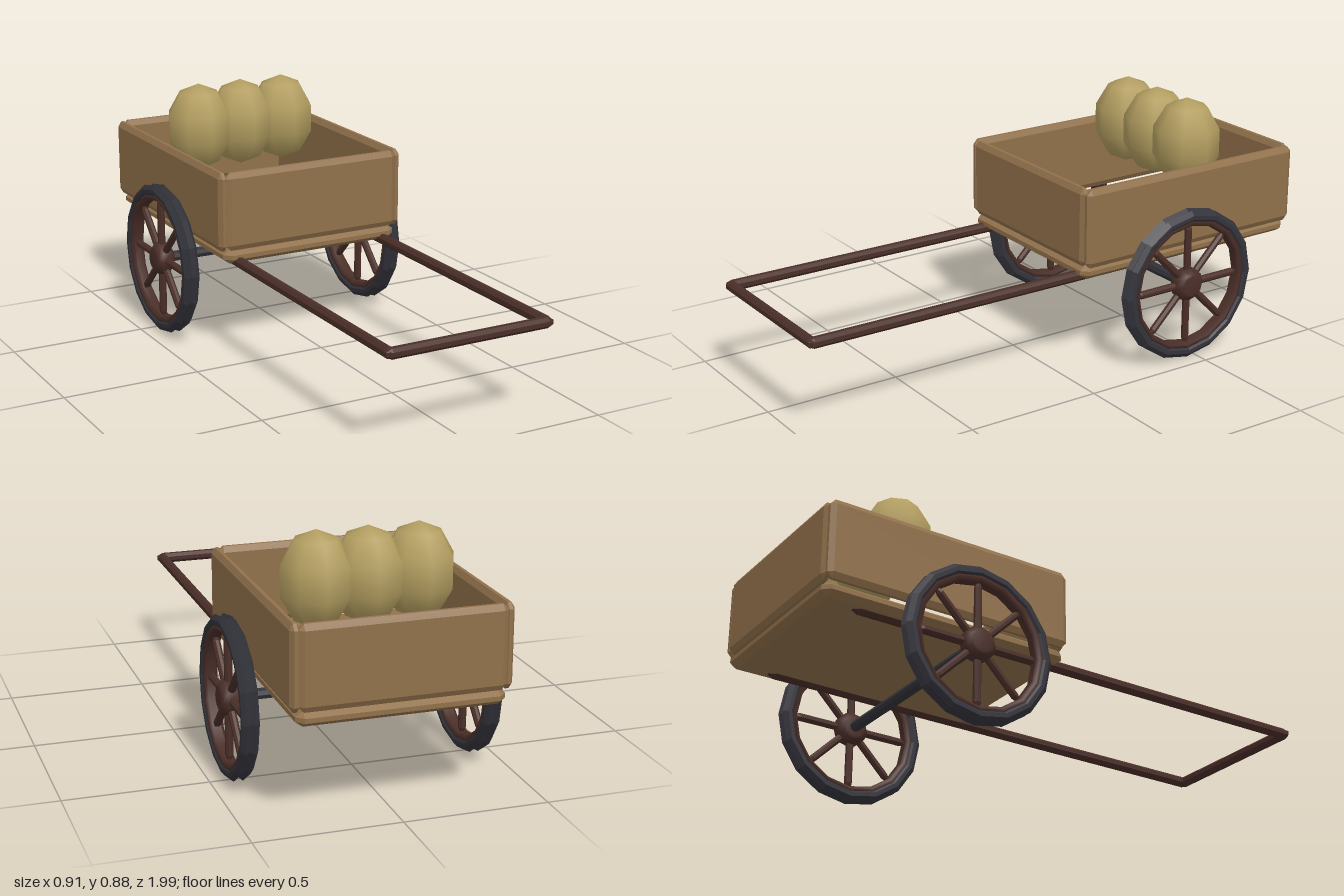
import * as THREE from 'three';
import { ConvexGeometry } from 'three/addons/geometries/ConvexGeometry.js';

const mat = (name, color, flatShading = false) =>
  Object.assign(new THREE.MeshStandardMaterial({ color, flatShading }), { name });

// Box with chamfered edges; c holds the chamfer along each axis
function chamferBox(w, h, d, c) {
  const half = [w / 2, h / 2, d / 2];
  const points = [];
  for (const sx of [-1, 1]) for (const sy of [-1, 1]) for (const sz of [-1, 1]) {
    const s = [sx, sy, sz];
    for (let full = 0; full < 3; full++) {
      points.push(new THREE.Vector3(...half.map((v, i) => s[i] * (i === full ? v : v - c[i]))));
    }
  }
  return new ConvexGeometry(points);
}

// Ring or hub turned about the x axis from [radius, x] pairs
function turned(profile, segments) {
  const g = new THREE.LatheGeometry(profile.map(([r, x]) => new THREE.Vector2(r, x)), segments);
  g.rotateZ(-Math.PI / 2);
  return g;
}

export function createModel() {
  const root = new THREE.Group();
  root.name = 'handcart';
  const wood = mat('wood', 0x91714b);
  const darkWood = mat('dark wood', 0x4a2e28);
  const iron = mat('iron', 0x32323a, true);
  const sackCloth = mat('sack cloth', 0xb39e60);
  const hubWood = darkWood;

  const add = (parent, name, geometry, material, x = 0, y = 0, z = 0) => {
    const m = new THREE.Mesh(geometry, material);
    m.name = name;
    m.position.set(x, y, z);
    parent.add(m);
    return m;
  };

  // Cart bed: floor and four walls
  const midZ = -0.527;
  add(root, 'floor', chamferBox(0.70, 0.052, 0.93, [0.025, 0.018, 0.025]), wood, 0, 0.379, midZ);
  const endWall = chamferBox(0.69, 0.285, 0.036, [0.018, 0.02, 0.012]);
  const sideWall = chamferBox(0.036, 0.287, 0.926, [0.012, 0.02, 0.018]);
  add(root, 'frontWall', endWall, wood, 0, 0.548, -0.074);
  add(root, 'backWall', endWall, wood, 0, 0.548, -0.98);
  add(root, 'leftWall', sideWall, wood, 0.352, 0.547, midZ);
  add(root, 'rightWall', sideWall, wood, -0.352, 0.547, midZ);

  // Pull handle
  const shaft = chamferBox(0.037, 0.037, 1.85, [0.011, 0.011, 0.02]);
  for (const s of [1, -1]) {
    add(root, s > 0 ? 'leftShaft' : 'rightShaft', shaft, darkWood, s * 0.295, 0.359, 0.065);
  }
  add(root, 'handleBar', chamferBox(0.63, 0.037, 0.038, [0.022, 0.011, 0.011]), darkWood, 0, 0.359, 0.973);

  // Wheels
  const axleY = 0.283, axleZ = -0.464;
  const tyre = turned([
    [0.24, -0.022], [0.25, -0.03], [0.264, -0.03], [0.28, -0.016], [0.266, 0],
    [0.28, 0.016], [0.264, 0.03], [0.25, 0.03], [0.24, 0.022], [0.24, -0.022],
  ], 16);
  const rim = turned([
    [0.222, -0.014], [0.23, -0.024], [0.245, -0.024], [0.245, 0.024],
    [0.23, 0.024], [0.222, 0.014], [0.222, -0.014],
  ], 16);
  const hub = turned([
    [0, -0.036], [0.036, -0.036], [0.045, -0.03], [0.06, -0.016],
    [0.06, 0.016], [0.045, 0.03], [0.036, 0.036], [0, 0.036],
  ], 12);
  const spoke = chamferBox(0.026, 0.19, 0.026, [0.008, 0.02, 0.008]);
  for (const s of [1, -1]) {
    const wheel = new THREE.Group();
    wheel.name = s > 0 ? 'leftWheel' : 'rightWheel';
    wheel.position.set(s * 0.421, axleY, axleZ);
    add(wheel, 'tyre', tyre, iron);
    add(wheel, 'rim', rim, darkWood);
    add(wheel, 'hub', hub, hubWood);
    for (let i = 0; i < 8; i++) {
      const a = i * Math.PI / 4;
      const m = add(wheel, 'spoke', spoke, darkWood, 0, Math.cos(a) * 0.132, Math.sin(a) * 0.132);
      m.rotation.x = a;
    }
    root.add(wheel);
  }

  // Axle
  const axle = new THREE.CylinderGeometry(0.02, 0.02, 0.84, 8);
  axle.rotateZ(Math.PI / 2);
  add(root, 'axle', axle, iron, 0, axleY, axleZ);

  // Row of sacks
  const sack = new THREE.SphereGeometry(1, 8, 5);
  sack.scale(0.128, 0.165, 0.128);
  for (const x of [-0.175, 0, 0.175]) add(root, 'sack', sack, sackCloth, x, 0.72, -0.643);

  return root;
}
